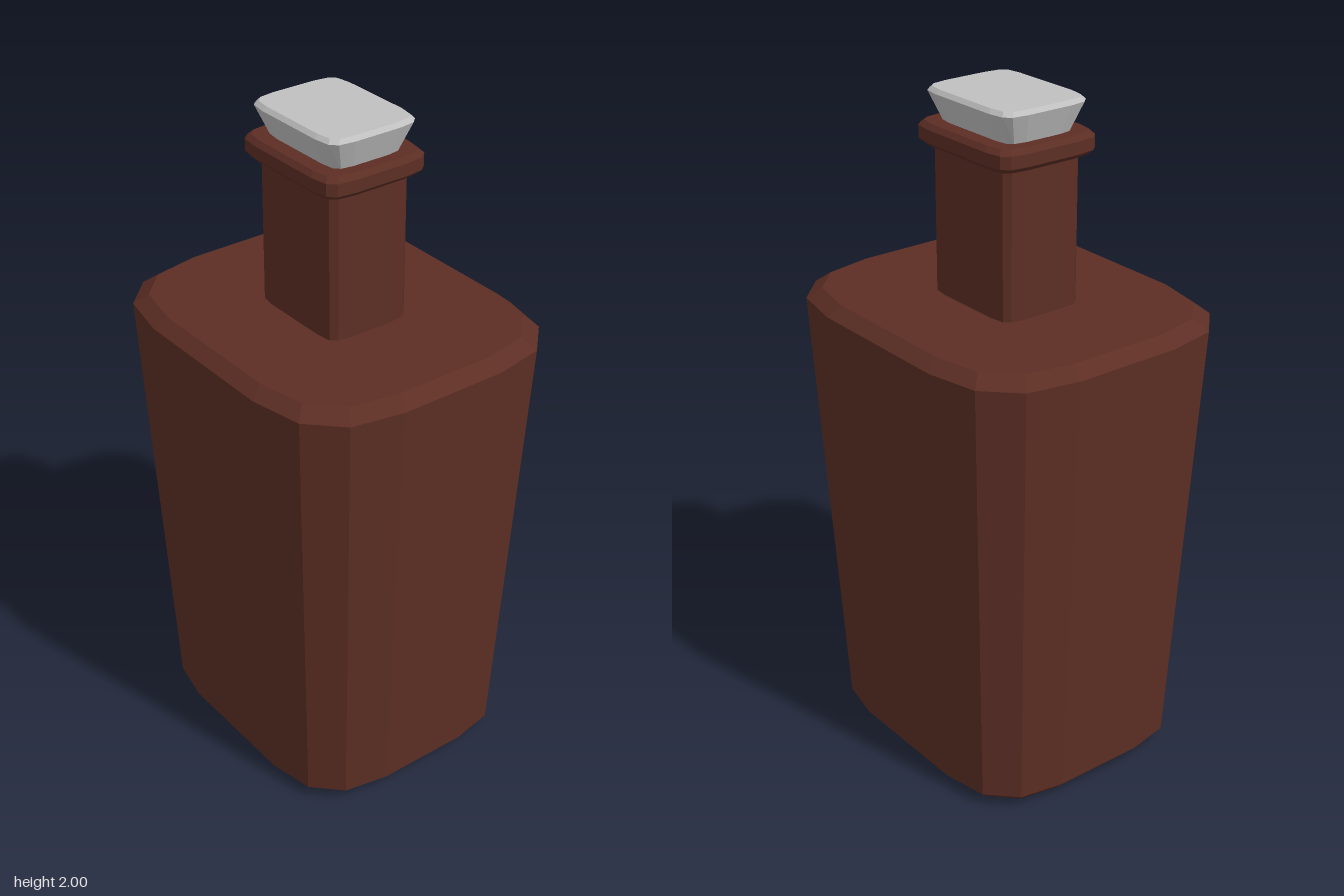
import * as THREE from 'three';

// Quarter outlines as fractions of the half width (x) and half depth (z)
const BODY = [[1, 0.46], [0.928, 0.763], [0.719, 0.942], [0.371, 1]];
const NECK = [[1, 0.62], [0.95, 0.87], [0.82, 0.965], [0.5, 1]];

// Mirror the quarter outline into a closed 16-sided section
function section(quarter, [y, hx, hz]) {
  const back = [...quarter].reverse();
  const signed = (list, sx, sz) => list.map(([x, z]) => new THREE.Vector3(x * hx * sx, y, z * hz * sz));
  return [
    ...signed(quarter, 1, 1), ...signed(back, -1, 1),
    ...signed(quarter, -1, -1), ...signed(back, 1, -1),
  ];
}

// Skin a stack of [y, halfWidth, halfDepth] levels, with flat facets and end caps
function loft(name, quarter, levels, material) {
  const rings = levels.map((level) => section(quarter, level));
  const n = rings[0].length;
  const points = [];
  for (let r = 0; r < rings.length - 1; r++) {
    const lo = rings[r], up = rings[r + 1];
    for (let i = 0; i < n; i++) {
      const j = (i + 1) % n;
      points.push(lo[i], up[i], up[j], lo[i], up[j], lo[j]);
    }
  }
  const first = rings[0], last = rings[rings.length - 1];
  const bottom = new THREE.Vector3(0, levels[0][0], 0);
  const top = new THREE.Vector3(0, levels[levels.length - 1][0], 0);
  for (let i = 0; i < n; i++) {
    const j = (i + 1) % n;
    points.push(bottom, first[i], first[j], top, last[j], last[i]);
  }
  const geometry = new THREE.BufferGeometry().setFromPoints(points);
  geometry.computeVertexNormals();
  const mesh = new THREE.Mesh(geometry, material);
  mesh.name = name;
  return mesh;
}

export function createModel() {
  const brownGlass = new THREE.MeshStandardMaterial({ name: 'brownGlass', color: 0x5c2e24 });
  const paleGrey = new THREE.MeshStandardMaterial({ name: 'paleGrey', color: 0xc0c0c0 });

  const bottle = new THREE.Group();
  bottle.name = 'bottle';
  bottle.add(
    // Tapered body with bevelled foot and shoulder
    loft('body', BODY, [
      [0, 0.345, 0.408], [0.04, 0.382, 0.447], [1.378, 0.445, 0.521], [1.41, 0.408, 0.479],
    ], brownGlass),
    // Straight neck
    loft('neck', NECK, [[1.4, 0.136, 0.173], [1.85, 0.136, 0.173]], brownGlass),
    // Bevelled lip
    loft('lip', NECK, [
      [1.842, 0.157, 0.194], [1.856, 0.17, 0.208], [1.892, 0.17, 0.208], [1.906, 0.157, 0.194],
    ], brownGlass),
    // Stopper flaring upwards
    loft('stopper', NECK, [
      [1.9, 0.112, 0.158], [1.988, 0.148, 0.189], [2, 0.138, 0.179],
    ], paleGrey),
  );
  return bottle;
}
